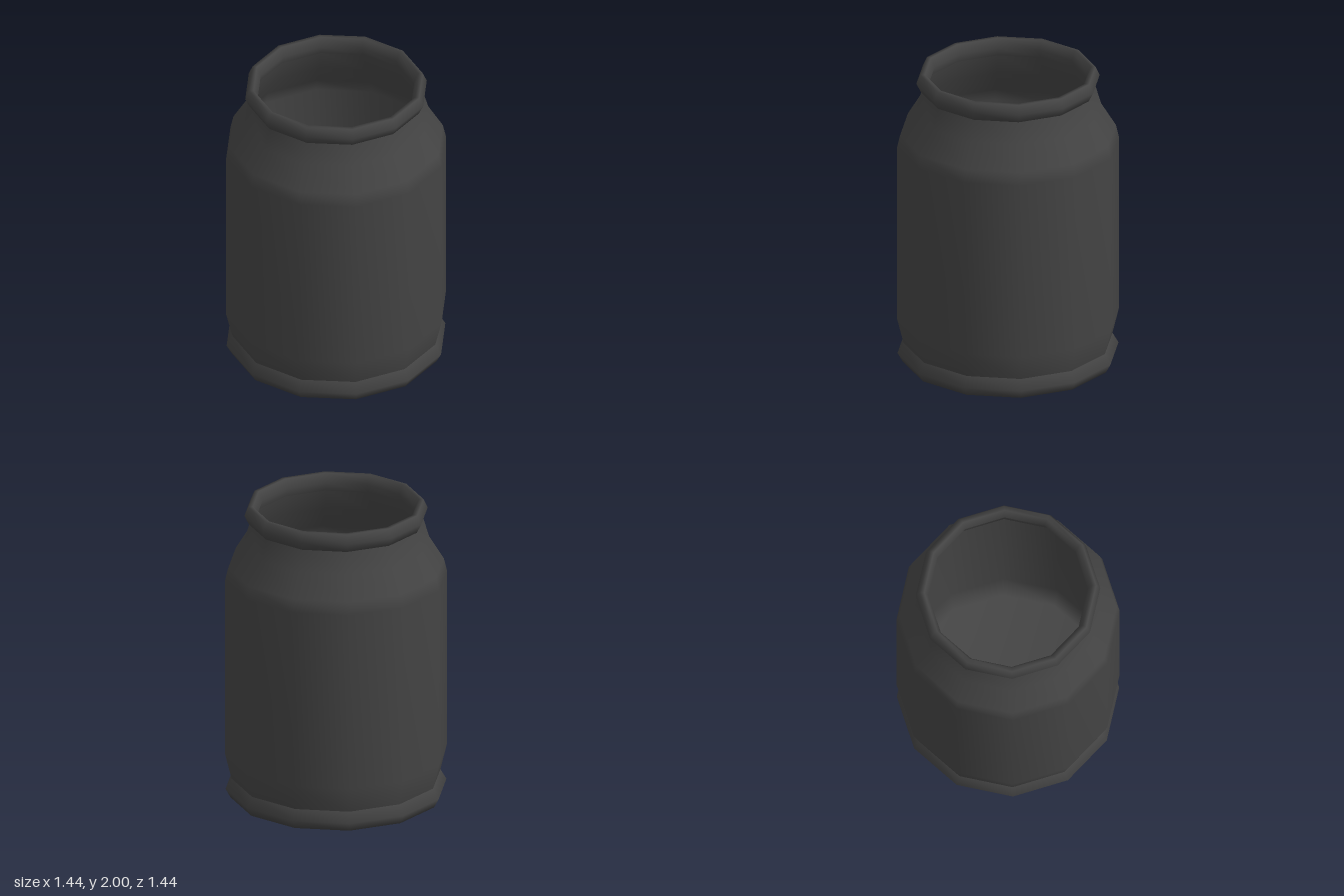
import * as THREE from 'three';

const SIDES = 12;

export function createModel() {
  const group = new THREE.Group();
  const charcoal = new THREE.MeshStandardMaterial({ color: 0x444444 });
  charcoal.name = 'charcoal';

  // Turns a [radius, height] profile into a smooth twelve-sided part
  function turned(name, profile) {
    const points = profile.map(([r, y]) => new THREE.Vector2(r, y));
    const mesh = new THREE.Mesh(new THREE.LatheGeometry(points, SIDES), charcoal);
    mesh.name = name;
    group.add(mesh);
  }

  // Underside and flared foot ring
  turned('baseRing', [[0, 0], [0.685, 0], [0.717, 0.06], [0.677, 0.13]]);

  // Outer wall with tapered foot, shoulder and neck
  turned('body', [
    [0.677, 0.125], [0.72, 0.3], [0.72, 1.5], [0.7, 1.585], [0.605, 1.74], [0.563, 1.88],
  ]);

  // Rolled lip around the mouth, a closed six-point section
  turned('rim', [
    [0.535, 1.88], [0.565, 1.88], [0.595, 1.94], [0.568, 2],
    [0.54, 2], [0.513, 1.94], [0.535, 1.88],
  ]);

  // Inner wall and floor of the hollow
  turned('lining', [
    [0.535, 1.885], [0.575, 1.74], [0.67, 1.585], [0.69, 1.5], [0.69, 0.3], [0.65, 0.1], [0, 0.1],
  ]);

  return group;
}
